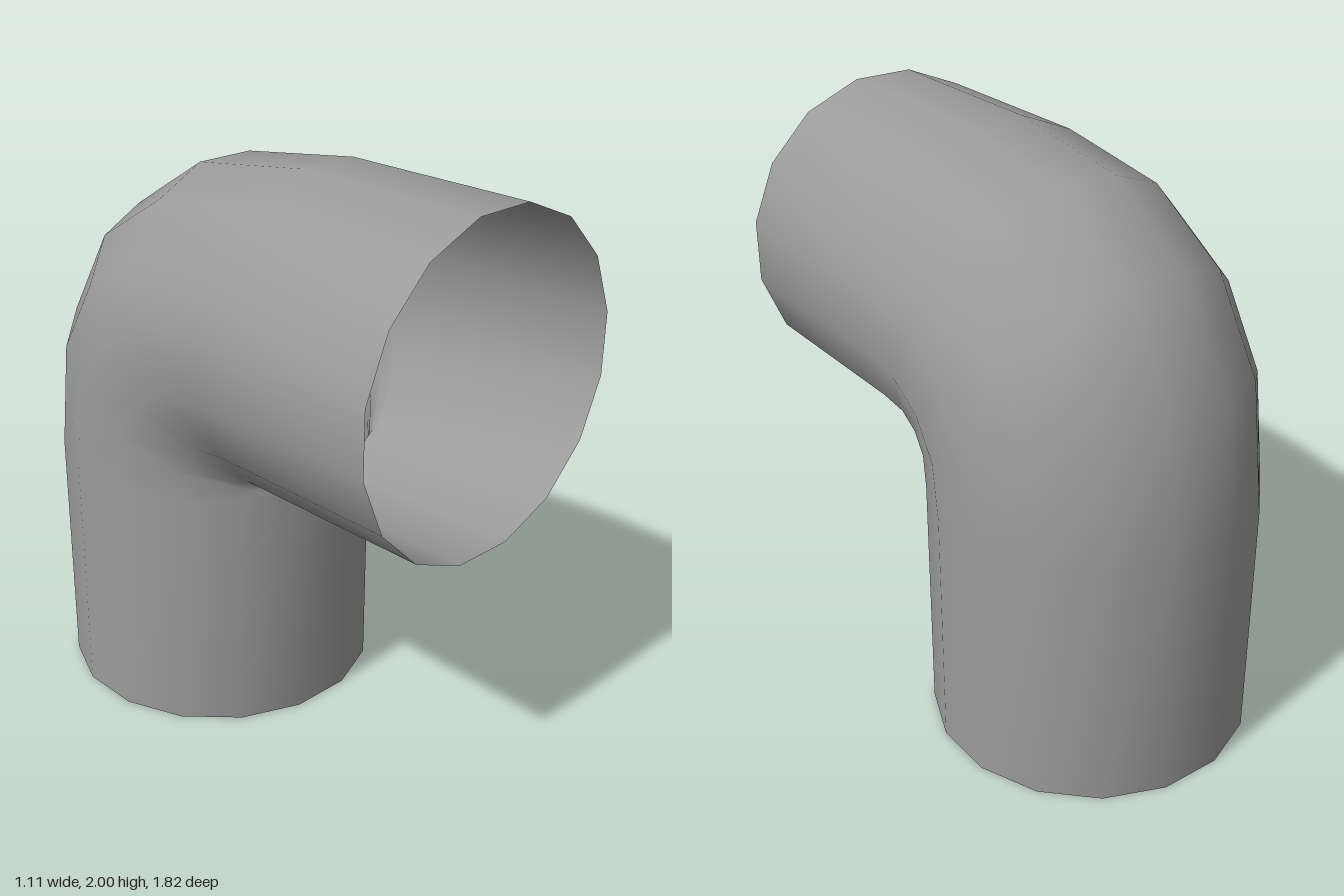
import * as THREE from 'three';

const SIDES = 16;
const RADIUS = 0.566;

// Cross-sections along the pipe: centre height, centre depth, tilt in degrees,
// and a slight widening in the bend that keeps the inner corner tight
const SECTIONS = [
  { y: 0, z: -0.355, tilt: 0, widen: 1 },
  { y: 0.885, z: -0.355, tilt: 0, widen: 1 },
  { y: 1.137, z: -0.322, tilt: 25.1, widen: 1.031 },
  { y: 1.307, z: -0.217, tilt: 45, widen: 1.053 },
  { y: 1.412, z: -0.047, tilt: 64.9, widen: 1.031 },
  { y: 1.445, z: 0.205, tilt: 90, widen: 1 },
  { y: 1.445, z: 0.91, tilt: 90, widen: 1 },
];

// Open tube through the tilted sections, with flats facing along the axes
function sweepPipe() {
  const positions = [];
  const index = [];
  SECTIONS.forEach(({ y, z, tilt, widen }, i) => {
    const a = THREE.MathUtils.degToRad(tilt);
    for (let j = 0; j < SIDES; j++) {
      const phi = ((j + 0.5) / SIDES) * Math.PI * 2;
      const out = RADIUS * widen * Math.cos(phi);
      positions.push(RADIUS * Math.sin(phi), y + out * Math.sin(a), z - out * Math.cos(a));
      if (i === SECTIONS.length - 1) continue;
      const next = (j + 1) % SIDES;
      const p = i * SIDES + j, q = i * SIDES + next;
      index.push(p, p + SIDES, q, q, p + SIDES, q + SIDES);
    }
  });
  const geometry = new THREE.BufferGeometry();
  geometry.setAttribute('position', new THREE.Float32BufferAttribute(positions, 3));
  geometry.setIndex(index);
  geometry.computeVertexNormals();
  return geometry;
}

export function createModel() {
  const group = new THREE.Group();
  group.name = 'pipeElbow';
  const material = new THREE.MeshStandardMaterial({ color: 0x9b9b9b, side: THREE.DoubleSide });
  const pipe = new THREE.Mesh(sweepPipe(), material);
  pipe.name = 'elbowPipe';
  group.add(pipe);
  return group;
}
